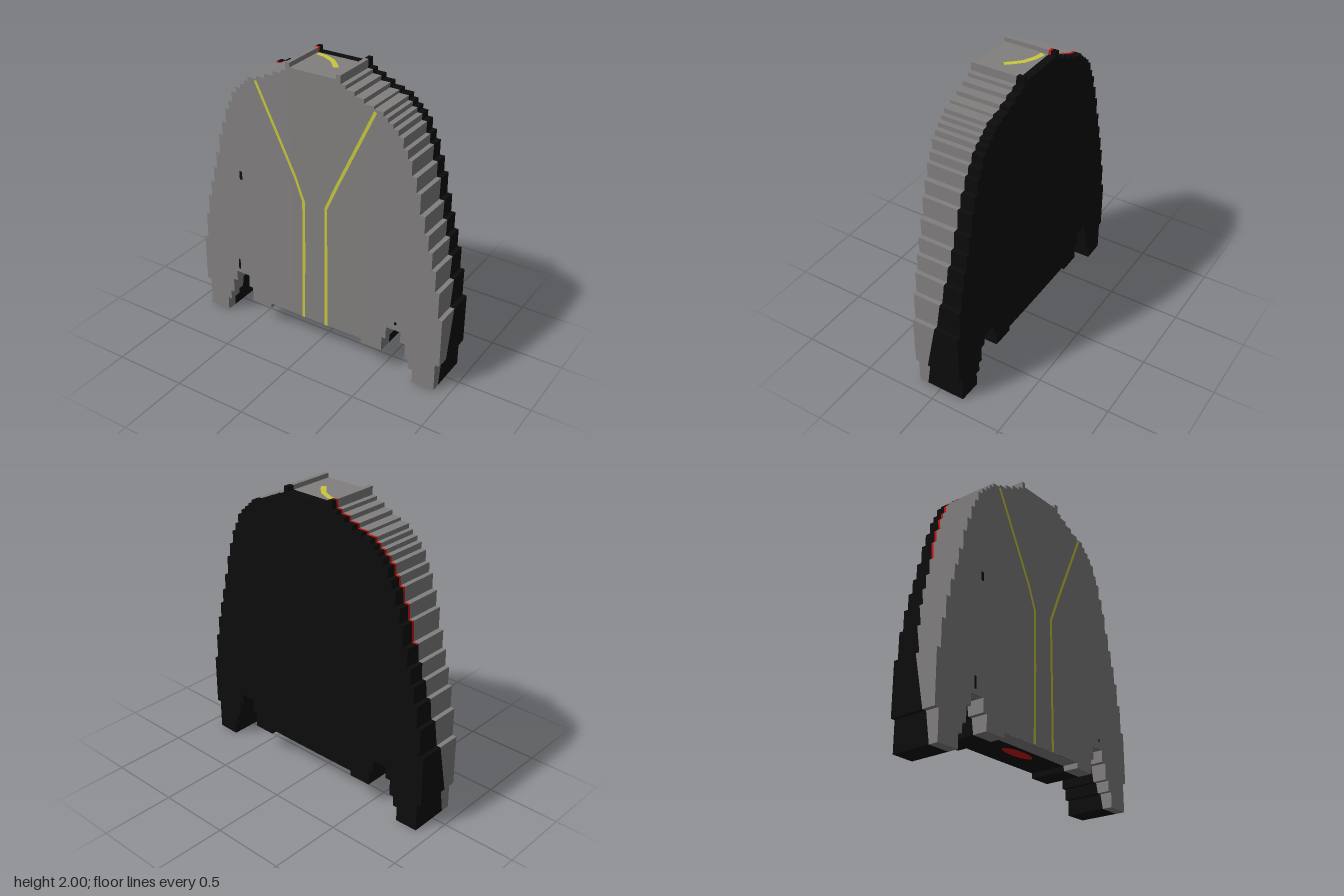
import * as THREE from 'three';

// Half outline as steps: [outer x of the step, y of the step]
const BOTTOM = [[.36, .2], [.515, .165], [.545, .27], [.65, .36], [.685, .28], [.715, .17], [.745, .1], [.9, 0], [.93, .2]];
const TOP = [[.165, 1.97], [.195, 2], [.23, 1.945], [.29, 1.92], [.355, 1.89], [.42, 1.86], [.485, 1.84], [.515, 1.81],
  [.55, 1.78], [.585, 1.75], [.62, 1.71], [.65, 1.64], [.68, 1.58], [.715, 1.48], [.745, 1.38], [.78, 1.24],
  [.81, 1.12], [.84, 1.01], [.87, .89], [.9, .74], [.93, .55]];
// Depth at which the rim changes colour: [y, z]
const SPLIT = [[0, .1], [.2, .07], [.45, .04], [.55, 0], [.75, -.03], [1, -.06], [1.5, -.085], [1.85, -.115], [2, -.13]];

const dome = (x) => 1 - (x / .93) ** 2;
const frontZ = (x) => .162 + .02 * dome(x);
const backZ = (x) => -.17 - .012 * dome(x);
const stepAt = (steps, x) => steps.find((s) => s[0] > Math.abs(x))[1];

function splitZ(y) {
  const i = Math.max(1, SPLIT.findIndex((s) => s[0] >= y));
  const [y0, z0] = SPLIT[i - 1], [y1, z1] = SPLIT[i];
  return z0 + (z1 - z0) * (y - y0) / (y1 - y0);
}

// Collects quads given by four anticlockwise corners into one mesh
function quadMesh(name, material, quads) {
  const positions = [];
  for (const [a, b, c, d] of quads) positions.push(...a, ...b, ...c, ...a, ...c, ...d);
  const geometry = new THREE.BufferGeometry();
  geometry.setAttribute('position', new THREE.Float32BufferAttribute(positions, 3));
  geometry.computeVertexNormals();
  const mesh = new THREE.Mesh(geometry, material);
  mesh.name = name;
  return mesh;
}

// Ribbon of constant width along a flat path; place() lifts it to 3D
function ribbon(path, width, place) {
  const pts = path.map((p) => new THREE.Vector2(...p));
  const sides = pts.map((p, i) => {
    const t = pts[Math.min(i + 1, pts.length - 1)].clone().sub(pts[Math.max(i - 1, 0)]).normalize();
    const n = new THREE.Vector2(-t.y, t.x).multiplyScalar(width / 2);
    return [place(p.x + n.x, p.y + n.y), place(p.x - n.x, p.y - n.y)];
  });
  return sides.slice(1).map((s, i) => [sides[i][0], sides[i][1], s[1], s[0]]);
}

// Closed stepped outline, anticlockwise seen from the front
function outline() {
  const half = [];
  BOTTOM.forEach(([x, y], i) => half.push([i ? BOTTOM[i - 1][0] : 0, y], [x, y]));
  for (let i = TOP.length - 1; i >= 0; i--) half.push([TOP[i][0], TOP[i][1]], [i ? TOP[i - 1][0] : 0, TOP[i][1]]);
  const mirrored = half.slice(1, -1).reverse().map(([x, y]) => [-x, y]);
  return [...half, ...mirrored];
}

export function createModel() {
  const make = (name, color, side = THREE.FrontSide) => {
    const m = new THREE.MeshStandardMaterial({ color, side });
    m.name = name;
    return m;
  };
  const grey = make('grey', 0x827f7f);
  const black = make('black', 0x0c0c0c);
  const yellow = make('yellow', 0xc8c83c, THREE.DoubleSide);
  const red = make('red', 0xd01010, THREE.DoubleSide);
  const speck = make('black paint', 0x0c0c0c, THREE.DoubleSide);

  const model = new THREE.Group();
  model.name = 'shell panel';

  // Domed front and back, one column between each pair of steps
  const half = [...new Set([...BOTTOM, ...TOP].map((s) => s[0]))];
  const xs = [...half.map((x) => -x), 0, ...half].sort((a, b) => a - b);
  const front = [], back = [];
  for (let i = 1; i < xs.length; i++) {
    const a = xs[i - 1], b = xs[i], mid = (a + b) / 2;
    const lo = stepAt(BOTTOM, mid), hi = stepAt(TOP, mid);
    front.push([[a, lo, frontZ(a)], [b, lo, frontZ(b)], [b, hi, frontZ(b)], [a, hi, frontZ(a)]]);
    back.push([[b, lo, backZ(b)], [a, lo, backZ(a)], [a, hi, backZ(a)], [b, hi, backZ(b)]]);
  }
  model.add(quadMesh('front face', grey, front), quadMesh('back face', black, back));

  // Stepped rim: grey in front, black behind, a red seam along the upper right
  const rimFront = [], rimBack = [], seam = [];
  const points = outline();
  points.forEach((a, i) => {
    const b = points[(i + 1) % points.length];
    const band = (z0, z1) => [[...a, z0(a)], [...b, z0(b)], [...b, z1(b)], [...a, z1(a)]];
    const mx = (a[0] + b[0]) / 2;
    const hasSeam = mx < -.1 && mx > -.79 && a[1] > 1.2 && b[1] > 1.2;
    const split = (p) => splitZ(p[1]);
    const lower = (p) => split(p) - (hasSeam ? .016 : 0);
    rimFront.push(band(split, (p) => frontZ(p[0])));
    rimBack.push(band((p) => backZ(p[0]), lower));
    if (hasSeam) seam.push(band(lower, split));
  });
  model.add(quadMesh('front rim', grey, rimFront), quadMesh('back rim', black, rimBack), quadMesh('red seam', red, seam));

  // Yellow lines that run up the front and fan apart
  const onFront = (x, y) => [x, y, frontZ(x) + .004];
  const lines = [
    [[-.085, .2], [-.075, .7], [-.073, 1.09], [-.135, 1.25], [-.425, 1.83]],
    [[.095, .2], [.095, .7], [.095, 1.09], [.165, 1.25], [.435, 1.83]],
  ];
  lines.forEach((path, i) => model.add(quadMesh(i ? 'left line' : 'right line', yellow, ribbon(path, .021, onFront))));

  // Small dark specks on the front
  const specks = [[-.573, 1.13, .022, .06], [-.62, .43, .016, .08], [.613, .415, .015, .02]];
  model.add(quadMesh('specks', speck, specks.flatMap(([x, y, w, h]) => ribbon([[x, y - h / 2], [x, y + h / 2]], w, onFront))));

  // Yellow streak on the flat top
  const streak = [[-.15, -.1], [-.08, -.085], [-.01, -.05], [.04, 0], [.07, .035]];
  model.add(quadMesh('top streak', yellow, ribbon(streak, .034, (x, z) => [x, 1.973, z])));

  // Red patch under the middle
  const patch = new THREE.Mesh(new THREE.CircleGeometry(1, 14).rotateX(Math.PI / 2).scale(.14, 1, .045), red);
  patch.position.set(-.02, .197, 0);
  patch.name = 'underside patch';
  model.add(patch);

  return model;
}
